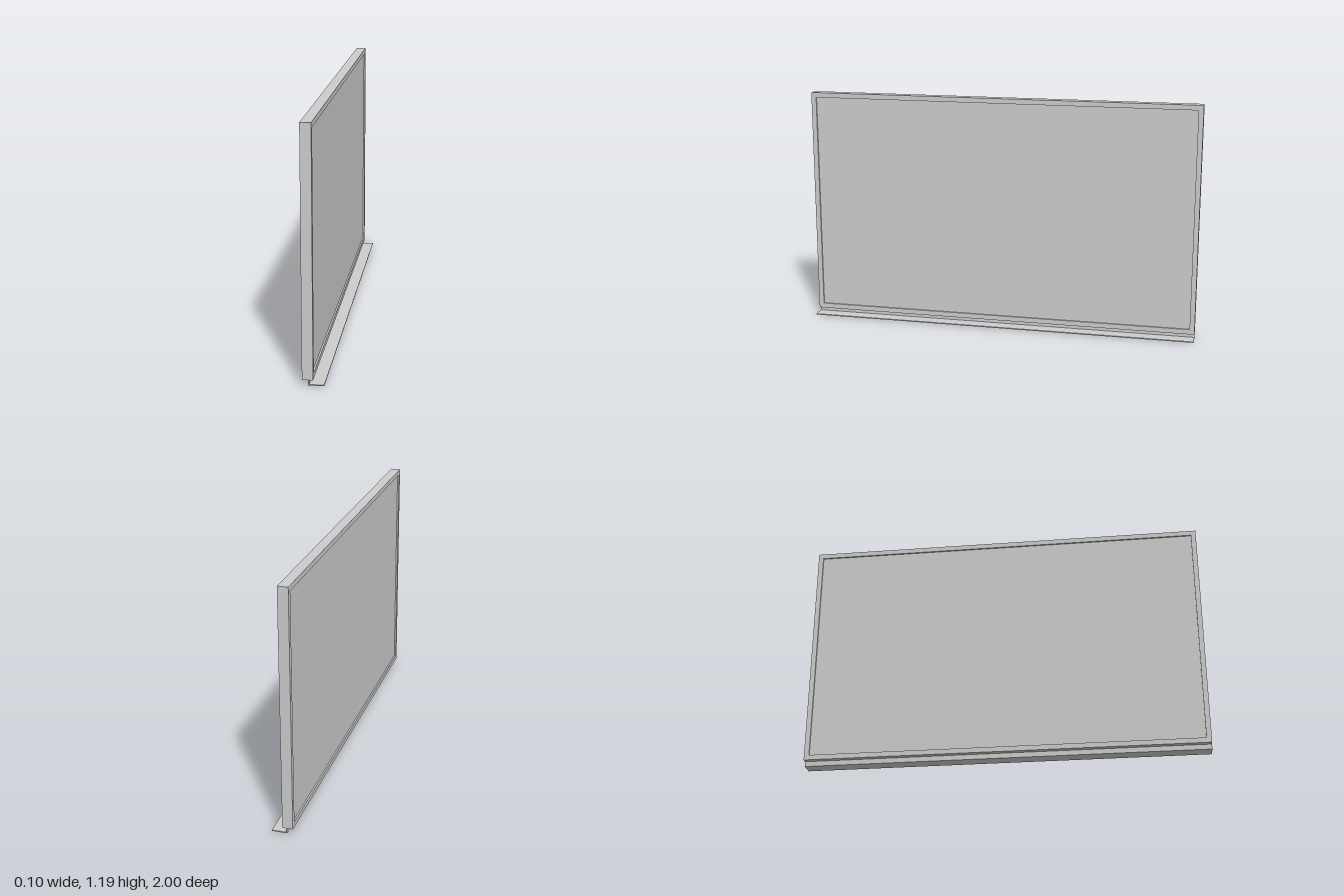
import * as THREE from 'three';

const material = new THREE.MeshStandardMaterial({ color: 0xcccccc, flatShading: true });

// Box given by its min and max corners
function block(name, [x0, y0, z0], [x1, y1, z1]) {
  const mesh = new THREE.Mesh(new THREE.BoxGeometry(x1 - x0, y1 - y0, z1 - z0), material);
  mesh.position.set((x0 + x1) / 2, (y0 + y1) / 2, (z0 + z1) / 2);
  mesh.name = name;
  return mesh;
}

export function createModel() {
  const group = new THREE.Group();
  group.name = 'framedPanel';
  const bottom = 0.025, top = 1.19, back = -0.05, front = 0, rim = 0.025, recess = 0.008;

  // Rectangular frame, cut out in the z-y plane and extruded along x
  const outline = new THREE.Shape([
    new THREE.Vector2(-1, bottom), new THREE.Vector2(1, bottom),
    new THREE.Vector2(1, top), new THREE.Vector2(-1, top),
  ]);
  outline.holes.push(new THREE.Path([
    new THREE.Vector2(-1 + rim, bottom + rim), new THREE.Vector2(-1 + rim, top - rim),
    new THREE.Vector2(1 - rim, top - rim), new THREE.Vector2(1 - rim, bottom + rim),
  ]));
  const frameGeometry = new THREE.ExtrudeGeometry(outline, { depth: front - back, bevelEnabled: false });
  frameGeometry.rotateY(Math.PI / 2);
  const frame = new THREE.Mesh(frameGeometry, material);
  frame.position.x = back;
  frame.name = 'frame';
  group.add(frame);

  // Panel set back slightly on both faces
  group.add(block('panel',
    [back + recess, bottom + rim, -1 + rim], [front - recess, top - rim, 1 - rim]));

  // L-shaped rail below the frame: upright web and flat flange
  group.add(block('railWeb', [-0.023, 0.005, -1], [-0.017, bottom, 1]));
  group.add(block('railFlange', [-0.023, 0, -1], [0.05, 0.005, 1]));

  return group;
}
